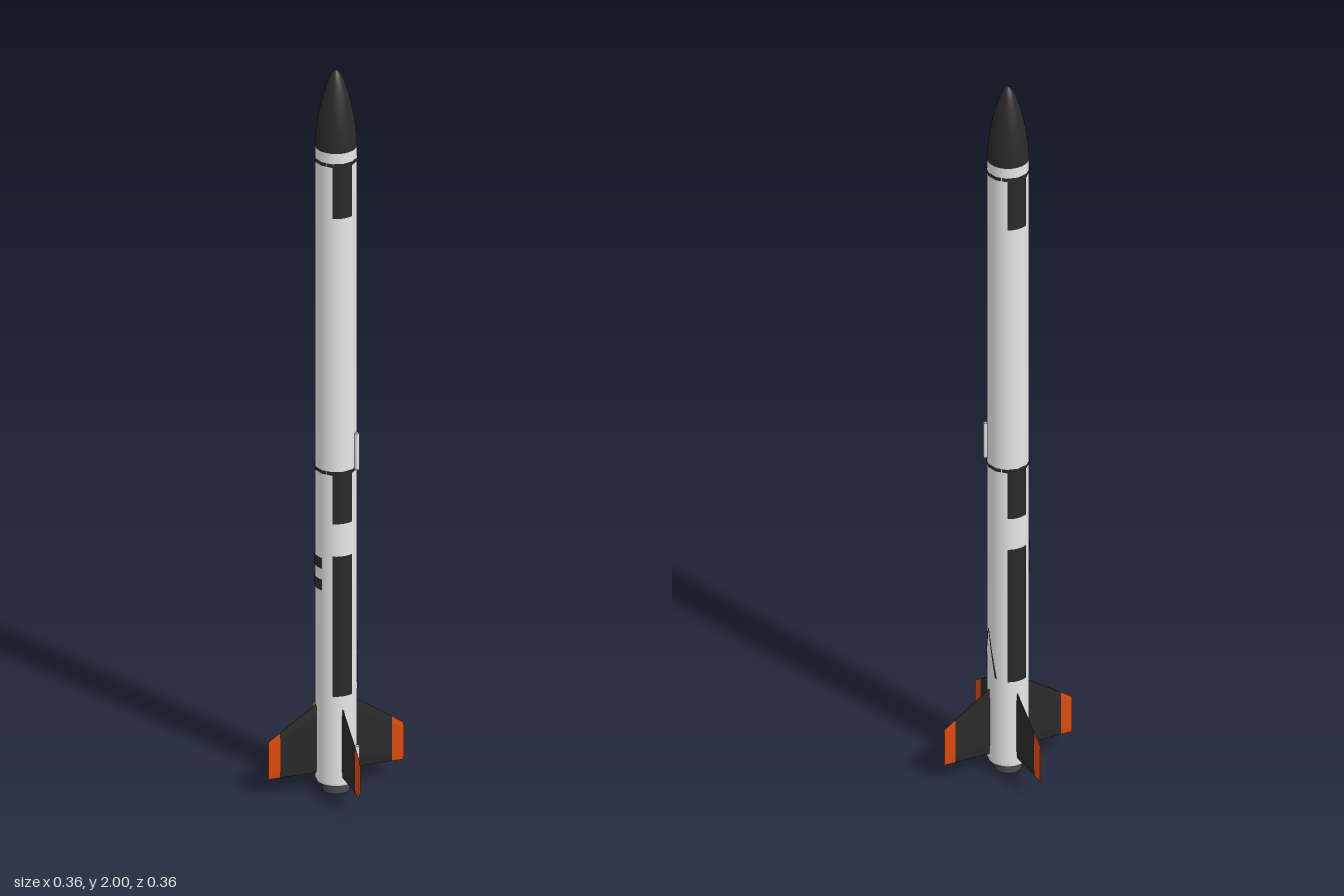
import * as THREE from 'three';

const R = 0.053; // body radius
const SKIN = 0.0548; // radius of painted markings

const white = new THREE.MeshStandardMaterial({ name: 'white paint', color: 0xeeeeee });
const black = new THREE.MeshStandardMaterial({ name: 'black paint', color: 0x2a2a2a, side: THREE.DoubleSide });
const orange = new THREE.MeshStandardMaterial({ name: 'orange paint', color: 0xdd4a0a });
const grey = new THREE.MeshStandardMaterial({ name: 'motor grey', color: 0x4c4c4c });

function add(parent, name, geometry, material) {
  const mesh = new THREE.Mesh(geometry, material);
  mesh.name = name;
  parent.add(mesh);
  return mesh;
}

const lathe = (points, segments = 40) =>
  new THREE.LatheGeometry(points.map(([x, y]) => new THREE.Vector2(x, y)), segments);

// Curved patch hugging the body; angle 0 faces +z, PI / 2 faces +x
function patch(y0, y1, angle, halfAngle) {
  return new THREE.CylinderGeometry(SKIN, SKIN, y1 - y0, 12, 1, true, angle - halfAngle, halfAngle * 2)
    .translate(0, (y0 + y1) / 2, 0);
}

// Sloping painted stroke wrapped around the +x side, given as [z, y] ends and widths
function stroke([z0, y0], [z1, y1], w0, w1) {
  const g = new THREE.PlaneGeometry(1, 1, 3, 6);
  const p = g.attributes.position;
  for (let i = 0; i < p.count; i++) {
    const t = p.getY(i) + 0.5;
    const z = z0 + (z1 - z0) * t + p.getX(i) * (w0 + (w1 - w0) * t);
    p.setXYZ(i, SKIN * Math.cos(z / SKIN), y0 + (y1 - y0) * t, SKIN * Math.sin(z / SKIN));
  }
  g.computeVertexNormals();
  return g;
}

// Fin section from span a to b: swept leading edge, bevelled edges, thinner toward the tip
function finSection(a, b) {
  const g = new THREE.BoxGeometry(1, 1, 1, 1, 3, 1).toNonIndexed();
  const p = g.attributes.position;
  const bevel = [0, 0.15, 0.85, 1];
  for (let i = 0; i < p.count; i++) {
    const row = Math.round((p.getY(i) + 0.5) * 3);
    const x = a + (b - a) * (p.getX(i) + 0.5);
    const top = Math.min(0.245, 0.245 - (x - 0.053) * 0.71);
    const thick = (row === 0 || row === 3 ? 0.0015 : 0.006) * (1 - (x - 0.05) * 3.5);
    p.setXYZ(i, x, 0.052 + (top - 0.052) * bevel[row], p.getZ(i) * thick);
  }
  g.computeVertexNormals();
  return g;
}

export function createModel() {
  const rocket = new THREE.Group();
  rocket.name = 'rocket';

  // Airframe
  add(rocket, 'bodyTube', lathe([[0.05, 0.028], [R, 0.036], [R, 0.9], [R, 1.76], [R, 1.79]]), white);
  add(rocket, 'noseCone', lathe([
    [R, 1.788], [0.0525, 1.81], [0.05, 1.84], [0.045, 1.875], [0.038, 1.91],
    [0.029, 1.945], [0.019, 1.975], [0.01, 1.993], [0.005, 1.998], [0, 2],
  ]), black);
  for (const y of [0.9, 1.757]) add(rocket, 'jointBand', patch(y - 0.005, y + 0.005, 0, Math.PI), black);

  // Motor end
  add(rocket, 'baseRing', lathe([[0.034, 0.028], [0.0505, 0.028]]), black);
  add(rocket, 'motorCase', new THREE.CylinderGeometry(0.035, 0.035, 0.06, 32, 1, true).translate(0, 0.03, 0), grey);
  add(rocket, 'motorRim', lathe([[0.02, 0.04], [0.02, 0], [0.035, 0]]), grey);
  add(rocket, 'nozzleThroat', new THREE.CircleGeometry(0.02, 24).rotateX(Math.PI / 2).translate(0, 0.035, 0), black);

  // Painted panels on the front and back
  for (const angle of [0, Math.PI]) {
    for (const [y0, y1] of [[1.61, 1.76], [0.76, 0.9], [0.28, 0.67]]) {
      add(rocket, 'paintedPanel', patch(y0, y1, angle, 0.5), black);
    }
  }

  // Side markings: a chevron on the left and two bars on the right
  const chevron = new THREE.Group();
  chevron.name = 'chevron';
  add(chevron, 'chevronFrontStroke', stroke([0.028, 0.285], [0.001, 0.42], 0.013, 0.003), black);
  add(chevron, 'chevronBackStroke', stroke([-0.028, 0.285], [-0.001, 0.42], 0.006, 0.003), black);
  rocket.add(chevron);
  for (const y of [0.57, 0.63]) add(rocket, 'sideBar', patch(y, y + 0.03, -Math.PI / 2, 0.55), black);

  // Four fins with orange tips
  for (let i = 0; i < 4; i++) {
    const fin = new THREE.Group();
    fin.name = 'fin';
    add(fin, 'finBlade', finSection(0.048, 0.149), black);
    add(fin, 'finTip', finSection(0.149, 0.18), orange);
    fin.rotation.y = i * Math.PI / 2;
    rocket.add(fin);
  }

  // Launch lugs between the front and left fins
  for (const [y0, y1] of [[0.9, 1.0], [0.045, 0.13]]) {
    const lug = lathe([[0.004, y1], [0.004, y0], [0.0065, y0], [0.0065, y1], [0.004, y1]], 14);
    add(rocket, 'launchLug', lug, white).position.set(0.0415, 0, 0.0415);
  }
  return rocket;
}
